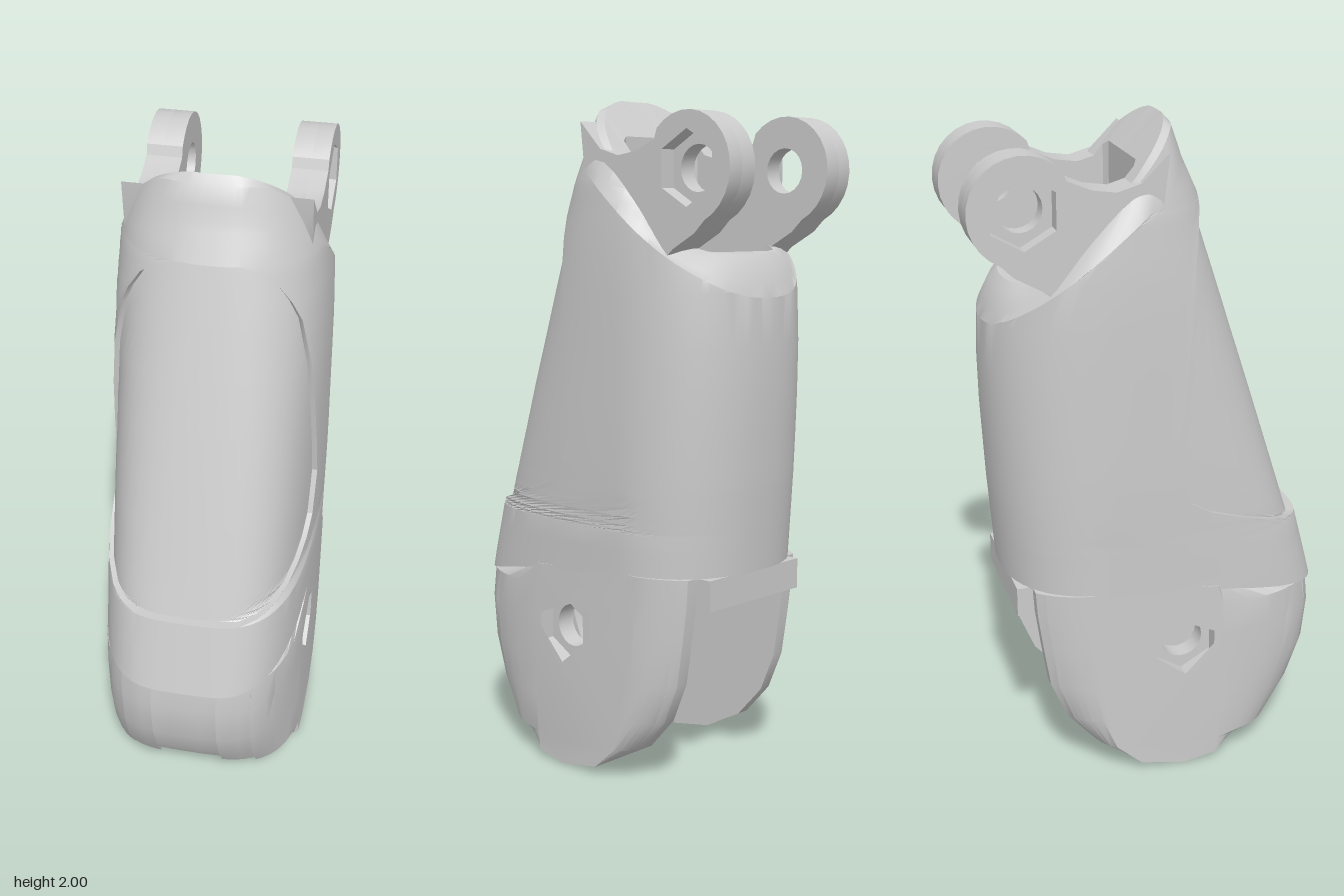
import * as THREE from 'three';
import { toCreasedNormals } from 'three/addons/utils/BufferGeometryUtils.js';

const material = new THREE.MeshStandardMaterial({ color: 0xcccccc });

// piecewise-linear lookup through [key, value] pairs with rising keys
function lookup(pairs, k) {
  if (k <= pairs[0][0]) return pairs[0][1];
  for (let i = 1; i < pairs.length; i++) {
    const [k0, v0] = pairs[i - 1], [k1, v1] = pairs[i];
    if (k <= k1) return v0 + (v1 - v0) * (k - k0) / (k1 - k0);
  }
  return pairs[pairs.length - 1][1];
}

// body silhouette by height, and its slanted ends by depth
const frontZ = [[0.53, 0.55], [0.76, 0.49], [1.78, 0.165], [1.9, 0.11], [2, 0.06]];
const backZ = [[0.63, -0.44], [0.9, -0.46], [1.2, -0.475], [1.4, -0.475], [1.55, -0.455]];
const halfW = [[0.53, 0.31], [1, 0.315], [1.55, 0.312], [1.75, 0.298], [1.9, 0.27]];
const frontPower = [[0.6, 3.5], [1.2, 3], [1.8, 2.3]];
const seamY = [[-0.44, 0.64], [-0.1, 0.625], [0.2, 0.6], [0.54, 0.53]];
const rimY = [[-0.45, 1.55], [-0.36, 1.56], [-0.3, 1.6], [-0.2, 1.71], [-0.1, 1.82], [-0.04, 1.89], [0.06, 2]];
const panelEdgeZ = [[0.76, 0.47], [0.81, 0.3], [0.86, 0.15], [0.9, 0.08], [1.03, 0.03],
  [1.3, 0.07], [1.6, 0.1], [1.72, 0.13], [1.78, 0.155]];
const shoulderY = z => 1.8 + 0.78 * z;
const MID = -0.15;

// point of the body's cross-section at height y; angle 0 is the front
function section(y, a) {
  const c = Math.cos(a), s = Math.sin(a), front = c >= 0;
  const n = front ? lookup(frontPower, y) : 2.3;
  const depth = front ? lookup(frontZ, y) - MID : MID - lookup(backZ, y);
  return [lookup(halfW, y) * Math.sign(s) * Math.abs(s) ** (2 / n),
    MID + depth * Math.sign(c) * Math.abs(c) ** (2 / n)];
}

// half-angle covered by the front panel at height y
function panelAngle(y) {
  const h = Math.min(1.78, Math.max(0.76, y));
  const t = (lookup(panelEdgeZ, h) - MID) / (lookup(frontZ, h) - MID);
  return Math.acos(Math.min(1, t) ** (lookup(frontPower, h) / 2));
}

function bodyGeometry() {
  // columns: panel part, doubled panel edge, then round to the back
  const half = [];
  for (let i = 0; i <= 10; i++) half.push([i / 10, true]);
  for (let i = 0; i <= 26; i++) half.push([i / 26, false]);
  const columns = [...half.slice(1).reverse().map(c => [...c, -1]), ...half.map(c => [...c, 1])];
  const angle = ([f, inPanel, side], y) => {
    const p = panelAngle(y);
    return side * (inPanel ? f * p : p + f * (Math.PI - p));
  };
  const outer = (v, recessed) => columns.map(col => {
    const a = angle(col, v);
    let y = v, p = section(y, a);
    for (let k = 0; k < 3; k++) {
      y = Math.min(Math.max(v, lookup(seamY, p[1])), shoulderY(p[1]));
      p = section(y, a);
    }
    if (recessed && col[1]) {
      p[0] -= 0.016 * Math.sin(a);
      p[1] -= 0.028 * Math.cos(a) ** 2;
    }
    return [p[0], y, p[1]];
  });
  // rectangular well through the middle
  const well = heights => columns.map(col => {
    const a = angle(col, 1.9), s = Math.sin(a), c = Math.cos(a);
    const m = Math.max(Math.abs(s), Math.abs(c));
    const z = -0.2 + 0.16 * c / m;
    return [0.16 * s / m, lookup(heights, z), z];
  });
  const rows = [well(seamY), outer(0.5, false)];
  for (const y of [0.56, 0.6, 0.65, 0.7, 0.76]) rows.push(outer(y, false));
  for (const y of [0.76, 0.77, 0.785, 0.81, 0.835, 0.86, 0.88, 0.9, 0.95, 1.03, 1.15, 1.3, 1.45,
    1.6, 1.66, 1.72, 1.75, 1.765, 1.78]) rows.push(outer(y, true));
  for (const y of [1.78, 1.82, 1.86, 1.95]) rows.push(outer(y, false));
  // rounded shoulder rising to the rim
  const shoulder = rows[rows.length - 1];
  const inset = (k, lift) => shoulder.map(([x, y, z]) => {
    const zi = MID + (z - MID) * k;
    return [x * k, y + (Math.max(y, lookup(rimY, zi)) - y) * lift, zi];
  });
  rows.push(inset(0.95, 0.35), inset(0.88, 0.8), inset(0.8, 1), well(rimY), well(seamY));

  const n = columns.length, index = [];
  for (let i = 0; i < rows.length - 1; i++) {
    for (let j = 0; j < n; j++) {
      const k = (j + 1) % n, a = i * n + j, b = i * n + k;
      index.push(a, b, b + n, a, b + n, a + n);
    }
  }
  const g = new THREE.BufferGeometry();
  g.setAttribute('position', new THREE.Float32BufferAttribute(rows.flat(2), 3));
  g.setIndex(index);
  return toCreasedNormals(g, 0.5);
}

// side profile in (z, y), extruded across x
function slab(shape, x0, x1, steps = 1) {
  const g = new THREE.ExtrudeGeometry(shape, { depth: x1 - x0, steps, bevelEnabled: false, curveSegments: 20 });
  return g.rotateY(-Math.PI / 2).translate(x1, 0, 0);
}

// rounds the front and back corners of the fork in plan
function roundPlan(g) {
  const p = g.attributes.position;
  for (let i = 0; i < p.count; i++) {
    const t = Math.min(1, Math.abs(p.getX(i)) / 0.315), z = p.getZ(i);
    const front = Math.max(0.19, MID + 0.695 * (1 - t ** 3.5) ** (1 / 3.5));
    const back = Math.min(1, (0.15 + 0.32 * (1 - t ** 2.3) ** (1 / 2.3) - 0.1) / 0.28);
    if (z > 0.17) p.setZ(i, 0.17 + (z - 0.17) * (front - 0.17) / 0.375);
    else if (z < -0.1) p.setZ(i, -0.1 + (z + 0.1) * back);
  }
  return toCreasedNormals(g, 0.5);
}

const shapeOf = pts => new THREE.Shape(pts.map(p => new THREE.Vector2(...p)));
const arc = (cz, cy, r, a0, a1, n) => Array.from({ length: n + 1 }, (_, i) => {
  const a = (a0 + (a1 - a0) * i / n) * Math.PI / 180;
  return [cz + r * Math.cos(a), cy + r * Math.sin(a)];
});
function withHole(pts, cz, cy, r, sides) {
  const s = shapeOf(pts);
  s.holes.push(new THREE.Path(arc(cz, cy, r, 90, 450, sides).slice(0, -1).map(p => new THREE.Vector2(...p))));
  return s;
}

export function createModel() {
  const root = new THREE.Group();
  const add = (name, geometry) => {
    const m = new THREE.Mesh(geometry, material);
    m.name = name;
    root.add(m);
  };
  add('body', bodyGeometry());

  const cheek = [[0.53, 0.545], [0.545, 0.45], [0.53, 0.32], [0.48, 0.2], [0.4, 0.085], [0.32, 0.075],
    [0.2, 0.025], [0.07, 0.005], [-0.07, 0.03], [-0.2, 0.1], [-0.29, 0.2], [-0.34, 0.32],
    [-0.36, 0.45], [-0.375, 0.56], [-0.38, 0.64], [-0.1, 0.64], [0.2, 0.615]];
  const lug = [[0.02, 1.93], [-0.06, 1.85], [-0.13, 1.83], [-0.2, 1.84], [-0.27, 1.87],
    ...arc(-0.39, 1.79, 0.155, 45, 245, 16), [-0.42, 1.615], [-0.34, 1.57], [-0.26, 1.5], [-0.1, 1.55], [0.0, 1.75]];

  for (const side of [1, -1]) {
    const tag = side > 0 ? 'left' : 'right';
    const span = (a, b) => side > 0 ? [a, b] : [-b, -a];
    // round bore inside, hexagonal nut pocket outside
    add(tag + 'CheekInner', roundPlan(slab(withHole(cheek, 0.07, 0.43, 0.065, 20), ...span(0.2, 0.26), 3)));
    add(tag + 'CheekOuter', roundPlan(slab(withHole(cheek, 0.07, 0.43, 0.105, 6), ...span(0.26, 0.308), 4)));
    add(tag + 'LugInner', toCreasedNormals(slab(withHole(lug, -0.39, 1.79, 0.065, 20), ...span(0.16, 0.215)), 0.5));
    add(tag + 'LugOuter', toCreasedNormals(slab(withHole(lug, -0.39, 1.79, 0.105, 6), ...span(0.215, 0.265)), 0.5));
    // curved ribs inside the fork
    const rib = shapeOf([...arc(0.07, 0.43, 0.38, -57, 15, 12), ...arc(0.07, 0.43, 0.33, 15, -57, 12)]);
    add(tag + 'Rib', toCreasedNormals(slab(rib, ...span(0.05, 0.1)), 0.5));
    add(tag + 'ForkFrontStep', roundPlan(slab(forkFront(0.13), ...span(0.1, 0.2), 3)));
  }
  add('forkFront', roundPlan(slab(forkFront(0.18), -0.1, 0.1, 4)));

  // flap under the back edge and stop tab in the well
  add('backFlap', new THREE.BoxGeometry(0.4, 0.09, 0.05).translate(0, 0.595, -0.402));
  add('stopTab', new THREE.BoxGeometry(0.18, 0.12, 0.05).translate(0, 0.68, -0.055));
  return root;
}

// wall joining the two cheeks, hollowed round the pivot
function forkFront(bottom) {
  const low = Math.asin((bottom - 0.43) / 0.37) * 180 / Math.PI;
  return shapeOf([...arc(0.07, 0.43, 0.37, 18, low, 10),
    [bottom > 0.15 ? 0.465 : 0.435, bottom], [0.49, 0.22], [0.53, 0.32], [0.545, 0.45], [0.535, 0.545]].reverse());
}
